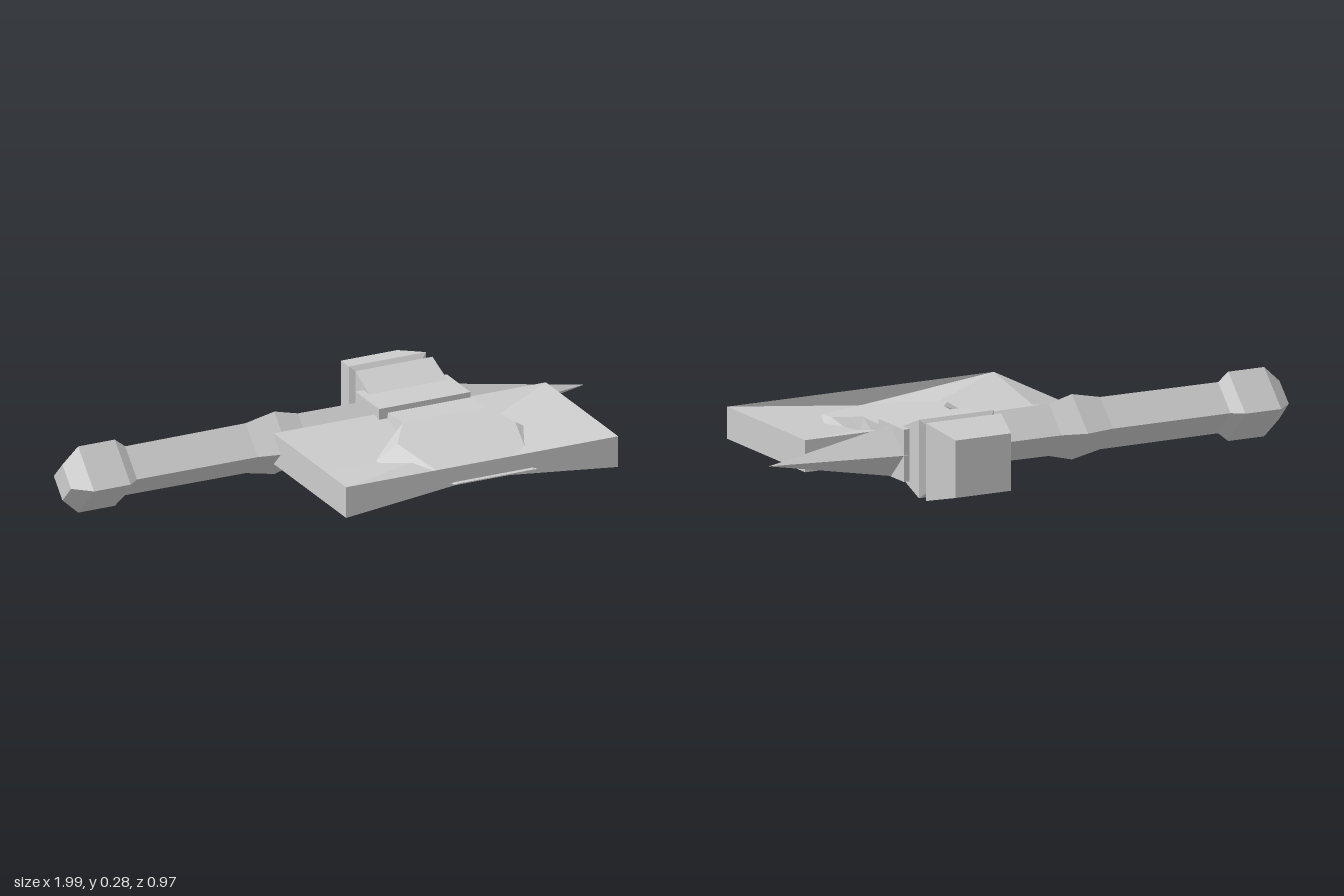
import * as THREE from 'three';

const Y = 0.14, Z = -0.14; // axis of the handle

export function createModel() {
  const group = new THREE.Group();
  const metal = new THREE.MeshStandardMaterial({ color: 0xcccccc, side: THREE.DoubleSide, flatShading: true });
  metal.name = 'light grey';

  const add = (name, geometry) => {
    const mesh = new THREE.Mesh(geometry, metal);
    mesh.name = name;
    group.add(mesh);
    return mesh;
  };

  // builds flat triangles from lists of three corners
  const fromTriangles = (tris) => {
    const g = new THREE.BufferGeometry();
    g.setAttribute('position', new THREE.Float32BufferAttribute(tris.flat(2), 3));
    g.computeVertexNormals();
    return g;
  };

  // skins a row of cross-sections and closes both ends
  const loft = (rings) => {
    const tris = [], n = rings[0].length;
    for (let r = 0; r < rings.length - 1; r++) {
      for (let i = 0; i < n; i++) {
        const j = (i + 1) % n, a = rings[r], b = rings[r + 1];
        tris.push([a[i], a[j], b[j]], [a[i], b[j], b[i]]);
      }
    }
    const first = rings[0], last = rings[rings.length - 1];
    for (let i = 1; i < n - 1; i++) {
      tris.push([first[0], first[i + 1], first[i]], [last[0], last[i], last[i + 1]]);
    }
    return fromTriangles(tris);
  };

  // diamond section across the handle axis
  const diamond = ([x, r]) => [[x, Y + r, Z], [x, Y, Z + r], [x, Y - r, Z], [x, Y, Z - r]];

  add('handle', loft([[-0.78, 0.09], [-0.3, 0.092], [-0.19, 0.115], [-0.1, 0.092], [0.18, 0.09]].map(diamond)));
  add('pommel', loft([[-1, 0.066], [-0.94, 0.122], [-0.8, 0.122], [-0.76, 0.09]].map(diamond)));
  add('spike', loft([[0.5, 0.093], [0.99, 0.0005]].map(diamond)));

  add('collar', new THREE.BoxGeometry(0.35, 0.184, 0.18)).position.set(0.34, Y, Z);

  // hammer head: rectangular sections going backwards [z, half width, half height]
  const rect = ([z, w, h]) => [
    [0.345 - w, Y - h, z], [0.345 - w, Y + h, z], [0.345 + w, Y + h, z], [0.345 + w, Y - h, z],
  ];
  add('hammerHead', loft([
    [-0.18, 0.15, 0.09], [-0.295, 0.147, 0.138], [-0.32, 0.11, 0.105],
    [-0.345, 0.147, 0.137], [-0.485, 0.108, 0.101],
  ].map(rect)));

  // axe core: six-sided sections [z, left tip, left shoulder, right shoulder, right tip, half height]
  const hex = ([z, a, b, c, d, h]) => [
    [a, Y, z], [b, Y - h, z], [c, Y - h, z], [d, Y, z], [c, Y + h, z], [b, Y + h, z],
  ];
  add('axeCore', loft([
    [-0.07, 0.2, 0.2, 0.515, 0.515, 0.072], [0.06, 0.18, 0.2, 0.515, 0.53, 0.076],
    [0.18, 0.03, 0.12, 0.57, 0.66, 0.055], [0.48, 0.19, 0.2, 0.49, 0.5, 0.002],
  ].map(hex)));

  // broad blade: a thick plate whose upper and lower skins cross at one front corner
  const p = (x, y, z) => [x ? 0.82 : -0.22, y ? 0.2 : 0.087, z ? 0.467 : -0.085];
  const TBl = p(0, 1, 0), TBr = p(1, 1, 0), TFl = p(0, 1, 1), TFr = p(1, 1, 1);
  const BBl = p(0, 0, 0), BBr = p(1, 0, 0), BFl = p(0, 0, 1), BFr = p(1, 0, 1);
  add('axeBlade', fromTriangles([
    [TBl, BFl, TBr], [TBr, BFl, TFr],   // upper skin
    [BBl, BBr, TFl], [BBr, BFr, TFl],   // lower skin
    [TFl, BFl, TFr], [TFl, BFr, TFr],   // front
    [TBr, BBr, BBl], [TBr, BBl, TBl],   // back
    [TFr, BFr, BBr], [TFr, BBr, TBr],   // +x end
    [TBl, BBl, BFl], [TBl, BFl, TFl],   // -x end
  ]));

  return group;
}
